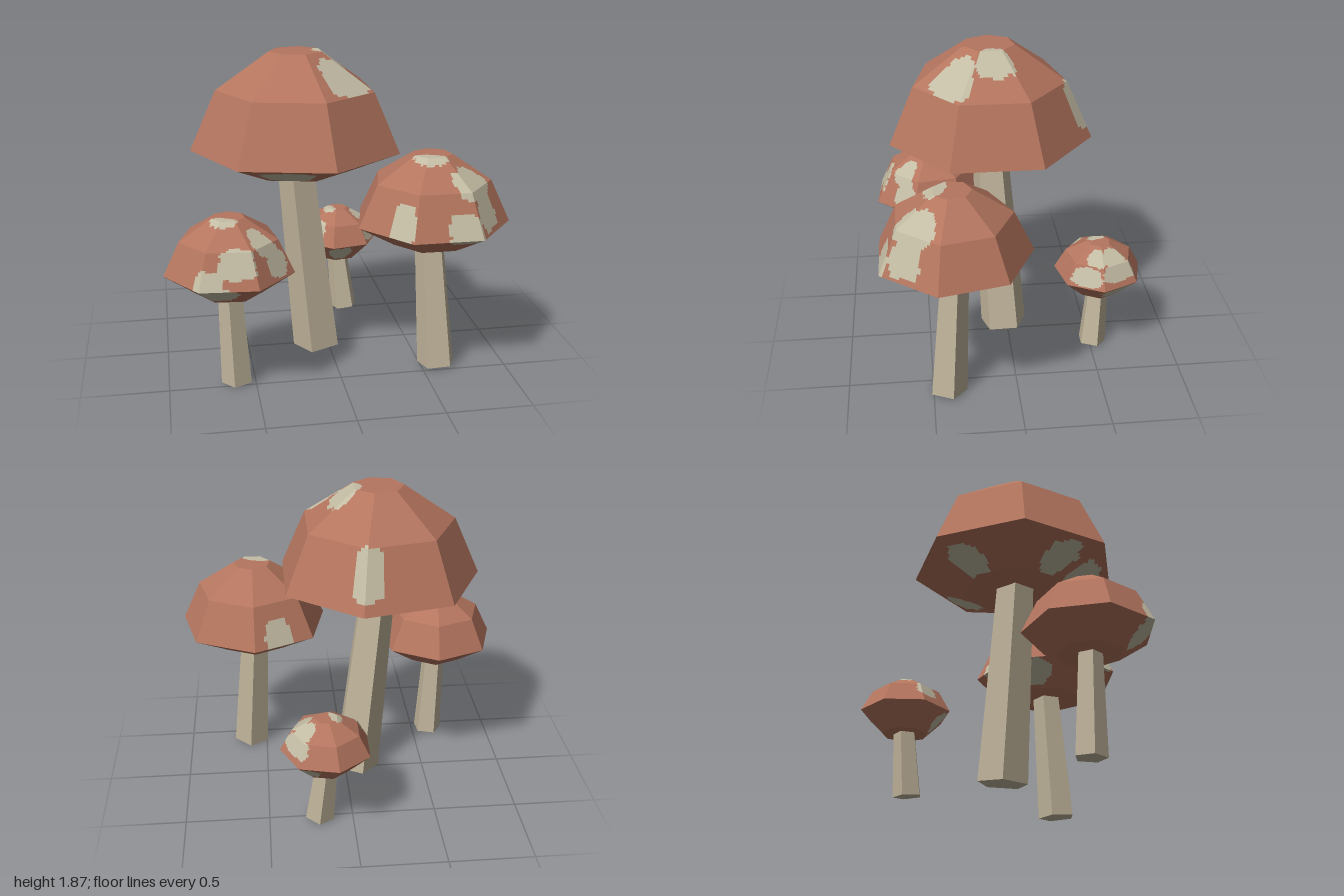
import * as THREE from 'three';

const RAD = Math.PI / 180;
const SIDES = 7;
const UNDERSIDE = 0.13; // depth of the cap below its rim
const SPOT_HEIGHT = 0.43; // half height of a spot, in cap levels

// Is the point at this angle and cap level inside a ragged spot?
// Levels: 0 underside ring, 1 rim, 2 shoulder, 3 crown, 4 middle of the crown.
function inSpot(spots, angle, level) {
  const ragged = 1 + 0.13 * Math.sin(angle * 0.31 + level * 9) + 0.1 * Math.sin(level * 23 - angle * 0.17);
  return spots.some(([spotAngle, spotLevel, halfAngle]) => {
    const turn = ((angle - spotAngle + 900) % 360) - 180;
    return Math.abs(turn / halfAngle) ** 2.8 + Math.abs((level - spotLevel) / SPOT_HEIGHT) ** 2.8 < ragged;
  });
}

// Faceted cap: every flat face is cut into small cells so the spots follow the surface
function makeCap({ centre, start, radius, rim, height, spots }, materials) {
  const rings = [
    [radius * 0.5, rim - UNDERSIDE],
    [radius, rim],
    [radius * 0.75, rim + height * 0.62],
    [radius * 0.25, rim + height],
    [0, rim + height],
  ];
  const corner = ([r, y], k) => {
    const a = (start + (k * 360) / SIDES) * RAD;
    return new THREE.Vector3(r * Math.cos(a), y, r * Math.sin(a));
  };
  const plain = [], spotted = [];
  const addFace = (low, high, k, level, nu, nv) => {
    const a0 = corner(low, k), a1 = corner(low, k + 1);
    const b0 = corner(high, k), b1 = corner(high, k + 1);
    const at = (i, j) => a0.clone().lerp(a1, i / nu).lerp(b0.clone().lerp(b1, i / nu), j / nv);
    for (let i = 0; i < nu; i++) {
      for (let j = 0; j < nv; j++) {
        const mid = at(i + 0.5, j + 0.5);
        const angle = Math.atan2(mid.z, mid.x) / RAD;
        const list = inSpot(spots, angle, level + (j + 0.5) / nv) ? spotted : plain;
        const p = at(i, j), q = at(i + 1, j), r = at(i + 1, j + 1), t = at(i, j + 1);
        if (low[0] > 0) list.push(p, t, q);
        if (high[0] > 0 || j < nv - 1) list.push(q, t, r);
      }
    }
  };
  for (let k = 0; k < SIDES; k++) {
    addFace([0, rim - UNDERSIDE], rings[0], k, -1, 1, 1); // flat underside
    for (let b = 0; b < 4; b++) addFace(rings[b], rings[b + 1], k, b, 18, 16);
  }
  const geometry = new THREE.BufferGeometry().setFromPoints([...plain, ...spotted]);
  geometry.addGroup(0, plain.length, 0);
  geometry.addGroup(plain.length, spotted.length, 1);
  geometry.computeVertexNormals();
  const cap = new THREE.Mesh(geometry, materials);
  cap.name = 'cap';
  cap.position.set(centre[0], 0, centre[1]);
  return cap;
}

// Five-sided tapered stem leaning from its foot to just inside the cap
function makeStem({ centre, start, rim, foot, stemRadius }, material) {
  const top = new THREE.Vector3(centre[0], rim - UNDERSIDE + 0.03, centre[1]);
  const base = new THREE.Vector3(foot[0], 0, foot[1]);
  const lean = Math.hypot(top.x - base.x, top.z - base.z) / top.y;
  base.y = stemRadius * lean; // lift so the tilted foot rests on the ground
  const axis = top.clone().sub(base);
  const turn = (90 - start - 4) * RAD;
  const geometry = new THREE.CylinderGeometry(stemRadius * 0.76, stemRadius, axis.length(), 5, 1, false, turn)
    .toNonIndexed();
  geometry.computeVertexNormals();
  const stem = new THREE.Mesh(geometry, material);
  stem.name = 'stem';
  stem.position.lerpVectors(base, top, 0.5);
  stem.quaternion.setFromUnitVectors(new THREE.Vector3(0, 1, 0), axis.normalize());
  return stem;
}

function makeMaterial(name, color) {
  const material = new THREE.MeshStandardMaterial({ color });
  material.name = name;
  return material;
}

export function createModel() {
  const capColour = makeMaterial('brick red cap', 0xb4755e);
  const spotColour = makeMaterial('pale grey spots', 0xc3bca4);
  const stemColour = makeMaterial('cream stem', 0xc2b69d);

  const model = new THREE.Group();
  model.name = 'mushrooms';
  const addMushroom = (name, spec) => {
    const mushroom = new THREE.Group();
    mushroom.name = name;
    mushroom.add(makeStem(spec, stemColour), makeCap(spec, [capColour, spotColour]));
    model.add(mushroom);
  };

  // Angles: 0 is +x, 90 is the front; start is the angle of a cap corner.
  // Each spot is [angle, level, half angle].
  addMushroom('tallMushroom', {
    centre: [-0.197, 0.091], start: 180, radius: 0.618, rim: 1.31, height: 0.56,
    foot: [-0.066, 0.022], stemRadius: 0.15,
    spots: [[44, 2.42, 23], [-5, 2.9, 28], [-79, 1.6, 10], [104, 0.4, 20], [146, 0.4, 13], [-42, 0.5, 12], [-132, 0.3, 15]],
  });
  addMushroom('rightMushroom', {
    centre: [0.548, 0.36], start: -90, radius: 0.456, rim: 0.91, height: 0.395,
    foot: [0.6, 0.415], stemRadius: 0.115,
    spots: [[127, 1.35, 11], [75, 1.15, 14], [46, 1.5, 15], [50, 2.2, 27], [110, 3.2, 55], [-25, 0.45, 20], [-112, 1.2, 13], [-155, 0.55, 24]],
  });
  addMushroom('leftMushroom', {
    centre: [-0.632, 0.452], start: 171.5, radius: 0.374, rim: 0.71, height: 0.31,
    foot: [-0.605, 0.438], stemRadius: 0.093,
    spots: [[86, 1.7, 20], [114, 1.1, 14], [35, 1.5, 14], [45, 2.2, 17], [115, 3.2, 55], [105, 0.6, 21]],
  });
  addMushroom('smallMushroom', {
    centre: [0.156, -0.545], start: 52.5, radius: 0.27, rim: 0.51, height: 0.2,
    foot: [0.2, -0.515], stemRadius: 0.088,
    spots: [[-28, 1.7, 30], [-28, 2.4, 26], [28, 1.5, 24], [15, 2.4, 22], [142, 1.8, 20], [92, 0.5, 22], [-35, 0.5, 38], [165, 3.2, 60]],
  });
  return model;
}
